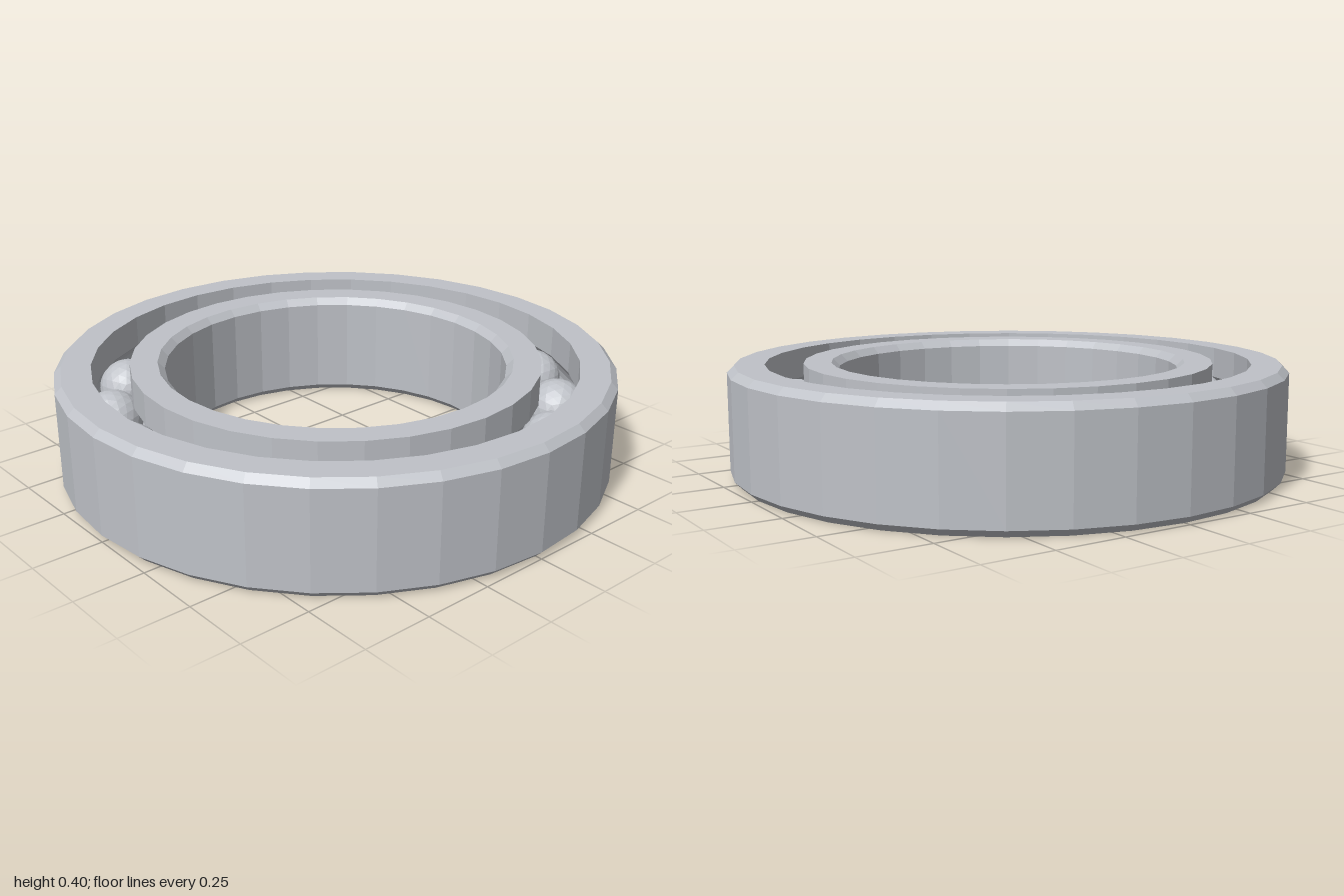
import * as THREE from 'three';

const HEIGHT = 0.4, MID = HEIGHT / 2, BEVEL = 0.025;
const SEGMENTS = 32;
const BALLS = 17, BALL_RADIUS = 0.107, PITCH = 0.804;
const GROOVE_RADIUS = 0.109;

// Ball groove on the wall at radius wallR, as profile points from bottom to top
function groove(wallR) {
  const side = Math.sign(wallR - PITCH);
  const half = Math.acos(Math.abs(wallR - PITCH) / GROOVE_RADIUS);
  const points = [];
  for (let i = 0; i <= 8; i++) {
    const a = -half + (2 * half * i) / 8;
    points.push([PITCH + side * GROOVE_RADIUS * Math.cos(a), MID + GROOVE_RADIUS * Math.sin(a)]);
  }
  return points;
}

function ring(name, profile, material) {
  // Counter-clockwise closed profile, so faces point outwards
  const points = [...profile, profile[0]].map(([r, y]) => new THREE.Vector2(r, y));
  const mesh = new THREE.Mesh(new THREE.LatheGeometry(points, SEGMENTS), material);
  mesh.name = name;
  return mesh;
}

export function createModel() {
  const group = new THREE.Group();
  group.name = 'ballBearing';
  const steel = new THREE.MeshStandardMaterial({ color: 0xbfc2c8, flatShading: true });
  steel.name = 'steel grey';

  // Outer ring: bevelled outside, grooved inside
  group.add(ring('outerRing', [
    [0.87, 0], [1 - BEVEL, 0], [1, BEVEL], [1, HEIGHT - BEVEL],
    [1 - BEVEL, HEIGHT], [0.87, HEIGHT], ...groove(0.87).reverse(),
  ], steel));

  // Inner ring: bevelled bore, grooved outside
  group.add(ring('innerRing', [
    [0.612 + BEVEL, 0], [0.735, 0], ...groove(0.735), [0.735, HEIGHT],
    [0.612 + BEVEL, HEIGHT], [0.612, HEIGHT - BEVEL], [0.612, BEVEL],
  ], steel));

  // Faceted balls, each with a vertex at the top
  const ballGeometry = new THREE.IcosahedronGeometry(BALL_RADIUS, 3);
  ballGeometry.rotateZ(Math.atan(2 / (1 + Math.sqrt(5))));
  const balls = new THREE.Group();
  balls.name = 'balls';
  for (let i = 0; i < BALLS; i++) {
    const a = (i / BALLS) * Math.PI * 2;
    const ball = new THREE.Mesh(ballGeometry, steel);
    ball.name = `ball${i + 1}`;
    ball.position.set(PITCH * Math.cos(a), MID, PITCH * Math.sin(a));
    ball.rotation.y = -a;
    balls.add(ball);
  }
  group.add(balls);
  return group;
}
